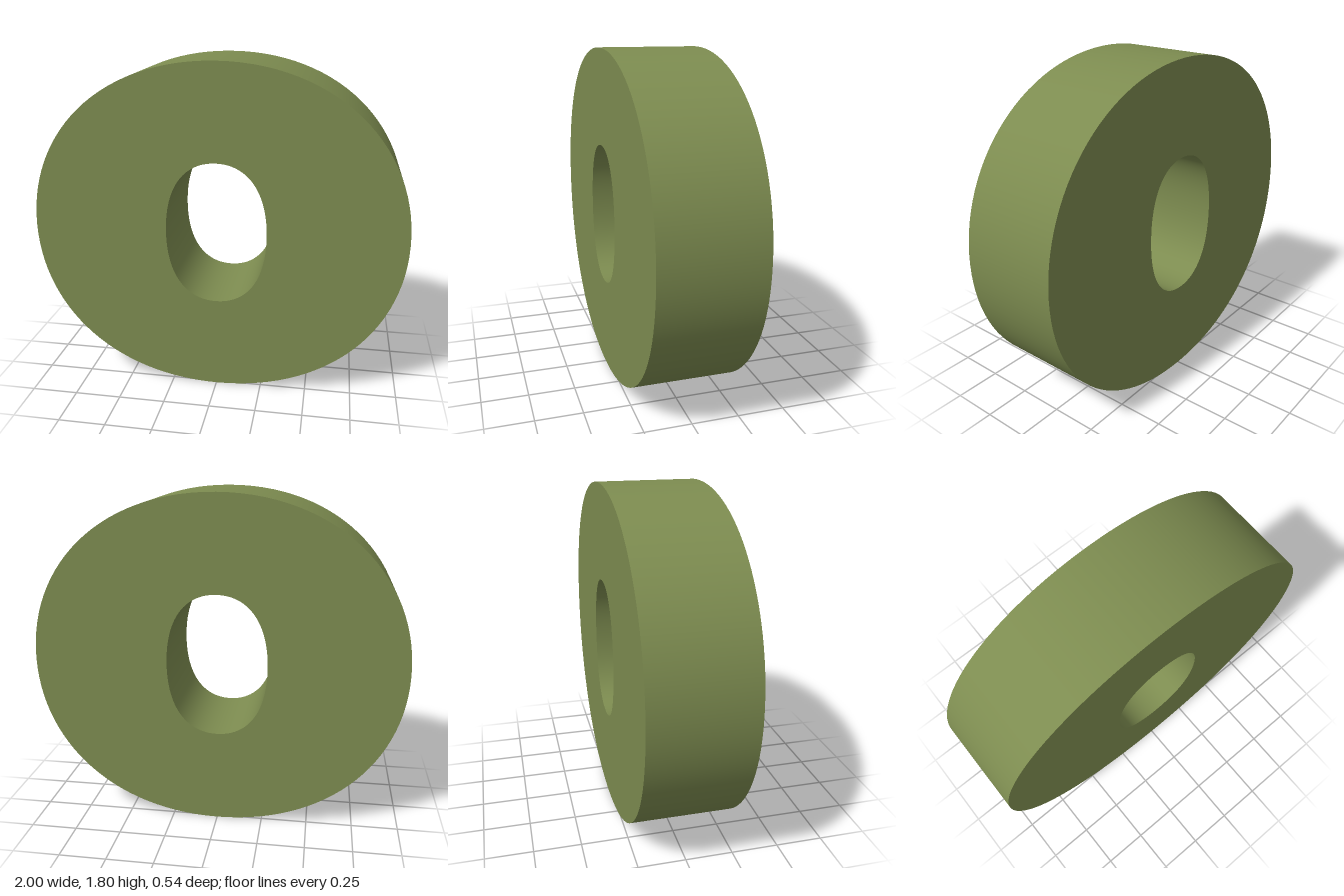
import * as THREE from 'three';

const CENTER_Y = 0.905;
const DEPTH = 0.535;

// Closed oval from four mirrored Bezier quarters; kx and ky set the fullness
function traceOval(path, a, b, kx, ky) {
  path.moveTo(a, 0);
  path.bezierCurveTo(a, b * ky, a * kx, b, 0, b);
  path.bezierCurveTo(-a * kx, b, -a, b * ky, -a, 0);
  path.bezierCurveTo(-a, -b * ky, -a * kx, -b, 0, -b);
  path.bezierCurveTo(a * kx, -b, a, -b * ky, a, 0);
  return path;
}

// Smooth normals along the curved walls of an extrusion, flat caps, sharp rims
function smoothWalls(geometry) {
  const pos = geometry.attributes.position;
  const nor = geometry.attributes.normal;
  const sums = new Map();
  const keyOf = (i) => `${pos.getX(i).toFixed(4)},${pos.getY(i).toFixed(4)}`;
  const isWall = (i) => Math.abs(nor.getZ(i)) < 0.5;
  for (let i = 0; i < pos.count; i++) {
    if (!isWall(i)) continue;
    const key = keyOf(i);
    if (!sums.has(key)) sums.set(key, new THREE.Vector3());
    sums.get(key).add(new THREE.Vector3().fromBufferAttribute(nor, i));
  }
  for (let i = 0; i < pos.count; i++) {
    if (!isWall(i)) continue;
    const n = sums.get(keyOf(i)).clone().normalize();
    nor.setXYZ(i, n.x, n.y, n.z);
  }
  return geometry;
}

export function createModel() {
  const group = new THREE.Group();
  group.name = 'ovalRing';

  // Broad outer oval with a narrow upright opening
  const shape = traceOval(new THREE.Shape(), 1, 0.9, 0.59, 0.575);
  shape.holes.push(traceOval(new THREE.Path(), 0.27, 0.387, 0.6, 0.66));

  const geometry = new THREE.ExtrudeGeometry(shape, {
    depth: DEPTH,
    bevelEnabled: false,
    curveSegments: 28,
  });
  geometry.translate(0, CENTER_Y - 0.005, -DEPTH / 2);

  const ring = new THREE.Mesh(
    smoothWalls(geometry),
    new THREE.MeshStandardMaterial({ color: 0x7d8c50 })
  );
  ring.name = 'ringBody';
  group.add(ring);
  return group;
}
